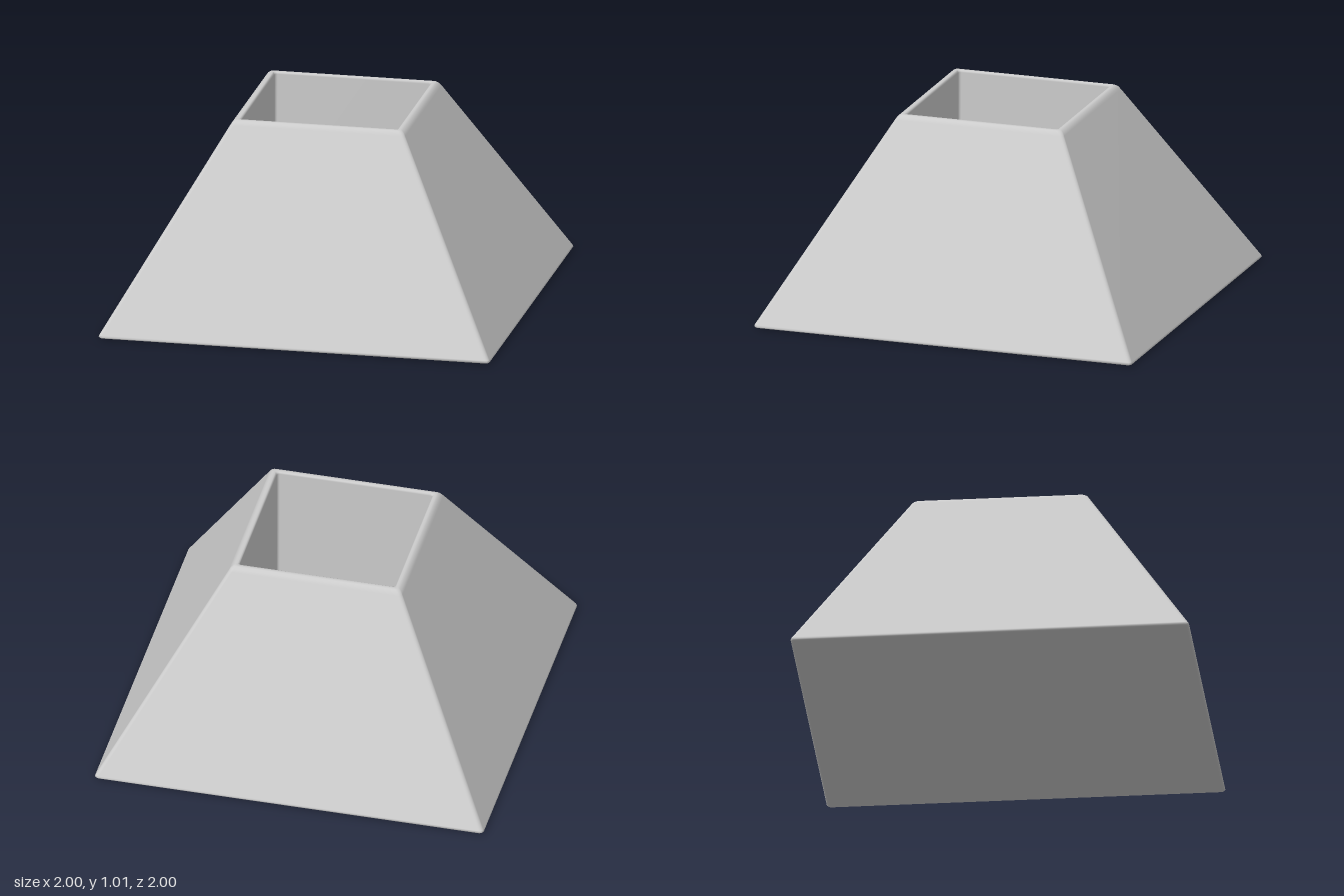
import * as THREE from 'three';

const ARC = 4; // segments per rounded corner

// Points of a rounded square (half width h, corner radius r) at height y
function squareLoop(h, y, r) {
  const points = [];
  for (let corner = 0; corner < 4; corner++) {
    const mid = (corner + 0.5) * Math.PI / 2;
    const cx = Math.sign(Math.cos(mid)) * (h - r);
    const cz = -Math.sign(Math.sin(mid)) * (h - r);
    for (let i = 0; i <= ARC; i++) {
      const a = (corner + i / ARC) * Math.PI / 2;
      points.push(cx + r * Math.cos(a), y, cz - r * Math.sin(a));
    }
  }
  return points;
}

// Skin a stack of square loops, each given as [half width, height, corner radius]
function loftSquares(sections) {
  const n = 4 * (ARC + 1);
  const index = [];
  for (let s = 0; s < sections.length - 1; s++) {
    for (let i = 0; i < n; i++) {
      const a = s * n + i, b = s * n + (i + 1) % n;
      index.push(a, b, b + n, a, b + n, a + n);
    }
  }
  const geometry = new THREE.BufferGeometry();
  geometry.setAttribute('position', new THREE.Float32BufferAttribute(sections.flatMap(s => squareLoop(...s)), 3));
  geometry.setIndex(index);
  geometry.computeVertexNormals();
  return geometry;
}

export function createModel() {
  const group = new THREE.Group();
  group.name = 'taperedBlock';
  const material = new THREE.MeshStandardMaterial({ color: 0xcccccc });

  // Closed underside, sloping sides and softened top edge
  const outer = [
    [0, 0, 0], [0.985, 0, 0.015], [0.995, 0.003, 0.02], [1, 0.009, 0.02], [0.997, 0.018, 0.02],
    [0.447, 0.985, 0.02], [0.438, 0.999, 0.02], [0.426, 1.008, 0.018], [0.418, 1.01, 0.016],
  ];
  // Rim lip, upright socket walls and socket floor
  const inner = [
    [0.418, 1.01, 0.016], [0.408, 1.01, 0.014], [0.402, 1.006, 0.014], [0.4, 0.998, 0.014],
    [0.4, 0.215, 0.014], [0.396, 0.204, 0.012], [0.385, 0.2, 0.01], [0, 0.2, 0],
  ];
  const body = new THREE.Mesh(loftSquares([...outer, ...inner.slice(1)]), material);
  body.name = 'hollowBody';
  group.add(body);
  return group;
}
